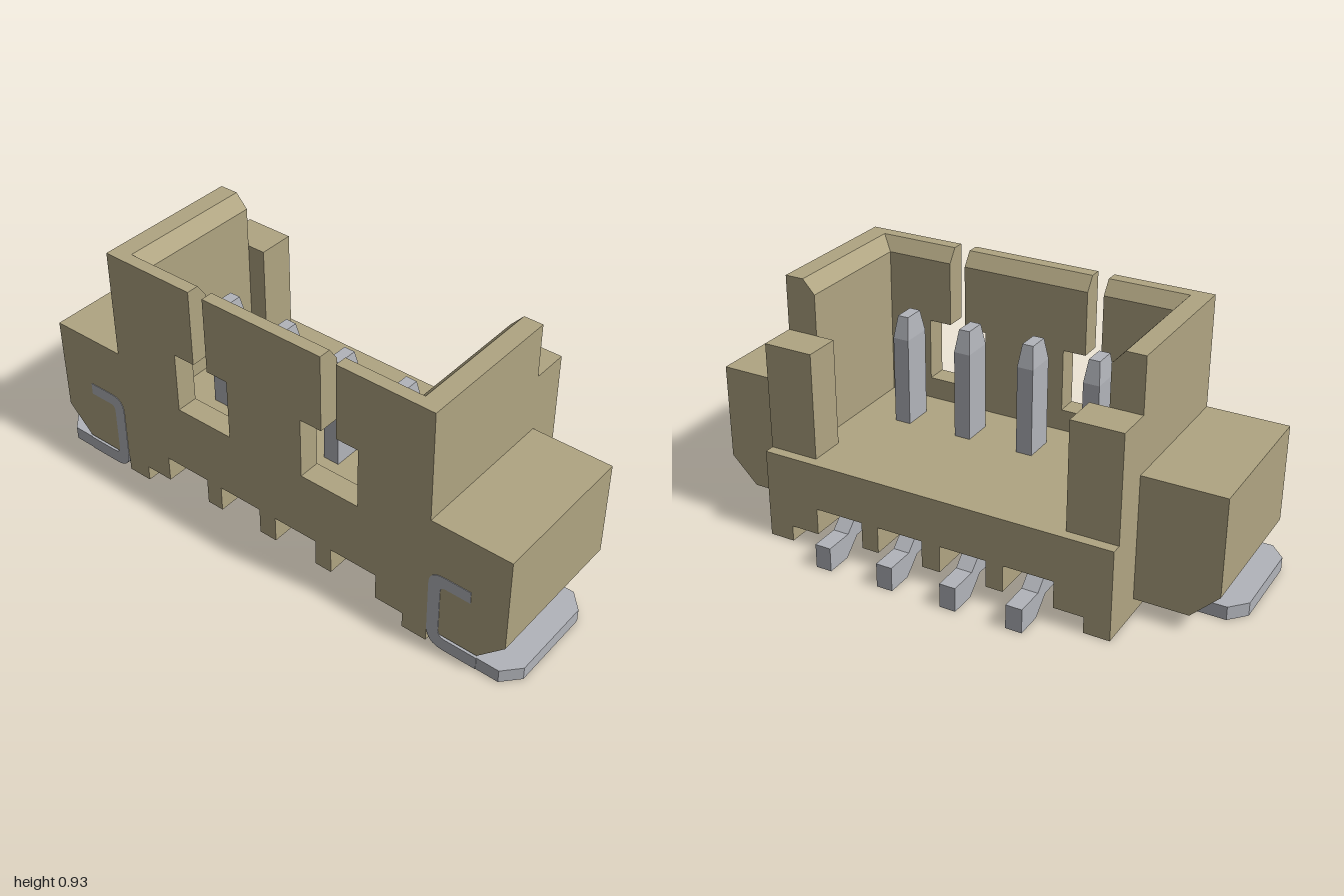
import * as THREE from 'three';

const housingMat = new THREE.MeshStandardMaterial({ color: 0xb0a582 });
housingMat.name = 'tan plastic';
const metalMat = new THREE.MeshStandardMaterial({ color: 0xb2b4ba });
metalMat.name = 'grey metal';

const FRONT = 0.415, BACK = -0.315, FLOOR = 0.335, TOP = 0.93, HALF = 0.665;

function shapeOf(points) {
  return new THREE.Shape(points.map(([x, y]) => new THREE.Vector2(x, y)));
}

// Extrude an x/y outline along z between z0 and z1
function prismZ(shape, z0, z1) {
  return new THREE.ExtrudeGeometry(shape, { depth: z1 - z0, bevelEnabled: false, curveSegments: 8 }).translate(0, 0, z0);
}

// Extrude a z/y outline along x between x0 and x1
function prismX(points, x0, x1) {
  const shape = shapeOf(points.map(([z, y]) => [-z, y]));
  return prismZ(shape, 0, x1 - x0).rotateY(Math.PI / 2).translate(x0, 0, 0);
}

function box(x0, x1, y0, y1, z0, z1) {
  return new THREE.BoxGeometry(x1 - x0, y1 - y0, z1 - z0)
    .translate((x0 + x1) / 2, (y0 + y1) / 2, (z0 + z1) / 2);
}

export function createModel() {
  const root = new THREE.Group();
  root.name = 'pinHeader';
  const add = (name, geometry, material, parent = root) => {
    const mesh = new THREE.Mesh(geometry, material);
    mesh.name = name;
    parent.add(mesh);
    return mesh;
  };

  // Base with feet and ribs between the pin channels
  const half = [
    [0.035, 0.06], [0.035, 0.16], [0.21, 0.16], [0.21, 0.06], [0.275, 0.06], [0.275, 0.16],
    [0.46, 0.16], [0.46, 0.06], [0.57, 0.06], [0.57, 0], [HALF, 0], [HALF, FLOOR],
  ];
  const mirrored = half.map(([x, y]) => [-x, y]).reverse();
  add('base', prismZ(shapeOf([...half, ...mirrored]), BACK, FRONT), housingMat);

  // Front wall with two T-shaped openings
  const capY = 0.88;
  const opening = [
    [0.30, capY], [0.30, 0.645], [0.385, 0.645], [0.385, 0.415],
    [0.155, 0.415], [0.155, 0.645], [0.24, 0.645], [0.24, capY],
  ];
  const wall = [
    [-HALF, FLOOR], [HALF, FLOOR], [HALF, capY], ...opening,
    ...opening.map(([x, y]) => [-x, y]).reverse(), [-HALF, capY],
  ];
  add('frontWall', prismZ(shapeOf(wall), 0.335, FRONT), housingMat);

  // Tops of the three tabs, chamfered on the inside
  const cap = [[FRONT, capY], [FRONT, TOP], [0.37, TOP], [0.335, capY]];
  for (const [x0, x1] of [[-HALF, -0.30], [-0.24, 0.24], [0.30, HALF]]) {
    add('tabTop', prismX(cap, x0, x1), housingMat);
  }

  // Side walls, rear posts, ears and solder brackets
  for (const side of [1, -1]) {
    const group = new THREE.Group();
    group.name = side > 0 ? 'leftSide' : 'rightSide';
    root.add(group);
    const mx = (pts) => pts.map(([x, y]) => [x * side, y]);
    const mbox = (a, b, ...rest) => (side > 0 ? box(a, b, ...rest) : box(-b, -a, ...rest));

    add('sideWall', prismZ(shapeOf(mx([
      [0.55, FLOOR], [HALF, FLOOR], [HALF, TOP], [0.595, TOP], [0.55, capY],
    ])), -0.14, FRONT), housingMat, group);
    add('rearPost', mbox(0.48, HALF, FLOOR, 0.73, -0.277, -0.14), housingMat, group);
    add('ear', prismZ(shapeOf(mx([
      [HALF, 0.06], [0.86, 0.06], [0.96, 0.16], [0.96, 0.52], [HALF, 0.52],
    ])), -0.14, FRONT), housingMat, group);

    // Bent strip: hook at the top, upright, then out along the board
    const outline = new THREE.Shape();
    const to = (x, y) => outline.lineTo(side * x, y);
    const bend = (cx, cy, x, y) => outline.quadraticCurveTo(side * cx, cy, side * x, y);
    outline.moveTo(side * 0.86, 0);
    to(0.735, 0); bend(0.667, 0, 0.667, 0.068);
    to(0.667, 0.26); bend(0.667, 0.316, 0.723, 0.316);
    to(0.825, 0.316); to(0.825, 0.27);
    to(0.735, 0.27); bend(0.712, 0.27, 0.712, 0.247);
    to(0.712, 0.08); bend(0.712, 0.05, 0.742, 0.05);
    to(0.86, 0.05);
    add('bracket', prismZ(outline, -0.02, 0.417), metalMat, group);

    // Solder tab with clipped outer corners
    const plan = mx([
      [0.86, -FRONT], [0.945, -FRONT], [1, -0.355], [1, -0.04], [0.945, 0.02], [0.86, 0.02],
    ]);
    add('solderTab', prismZ(shapeOf(plan), 0, 0.05).rotateX(-Math.PI / 2), metalMat, group);
  }

  // Pins: tapered post above the floor, bar and bent foot below
  const foot = [
    [0.225, 0.06], [0.225, 0.165], [-0.225, 0.165], [-0.305, 0.09],
    [-0.415, 0.09], [-0.415, 0], [-0.315, 0], [-0.25, 0.06],
  ];
  for (const x of [-0.37, -0.123, 0.123, 0.37]) {
    const pin = new THREE.Group();
    pin.name = 'pin';
    pin.position.x = x;
    root.add(pin);
    add('pinPost', box(-0.03, 0.03, 0.16, 0.66, 0.11, 0.225), metalMat, pin);
    const tip = new THREE.CylinderGeometry(Math.SQRT1_2 * 0.68, Math.SQRT1_2, 0.08, 4, 1)
      .toNonIndexed().rotateY(Math.PI / 4).scale(0.06, 1, 0.115).translate(0, 0.70, 0.1675);
    tip.computeVertexNormals();
    add('pinTip', tip, metalMat, pin);
    add('pinFoot', prismX(foot, -0.03, 0.03), metalMat, pin);
  }

  return root;
}
